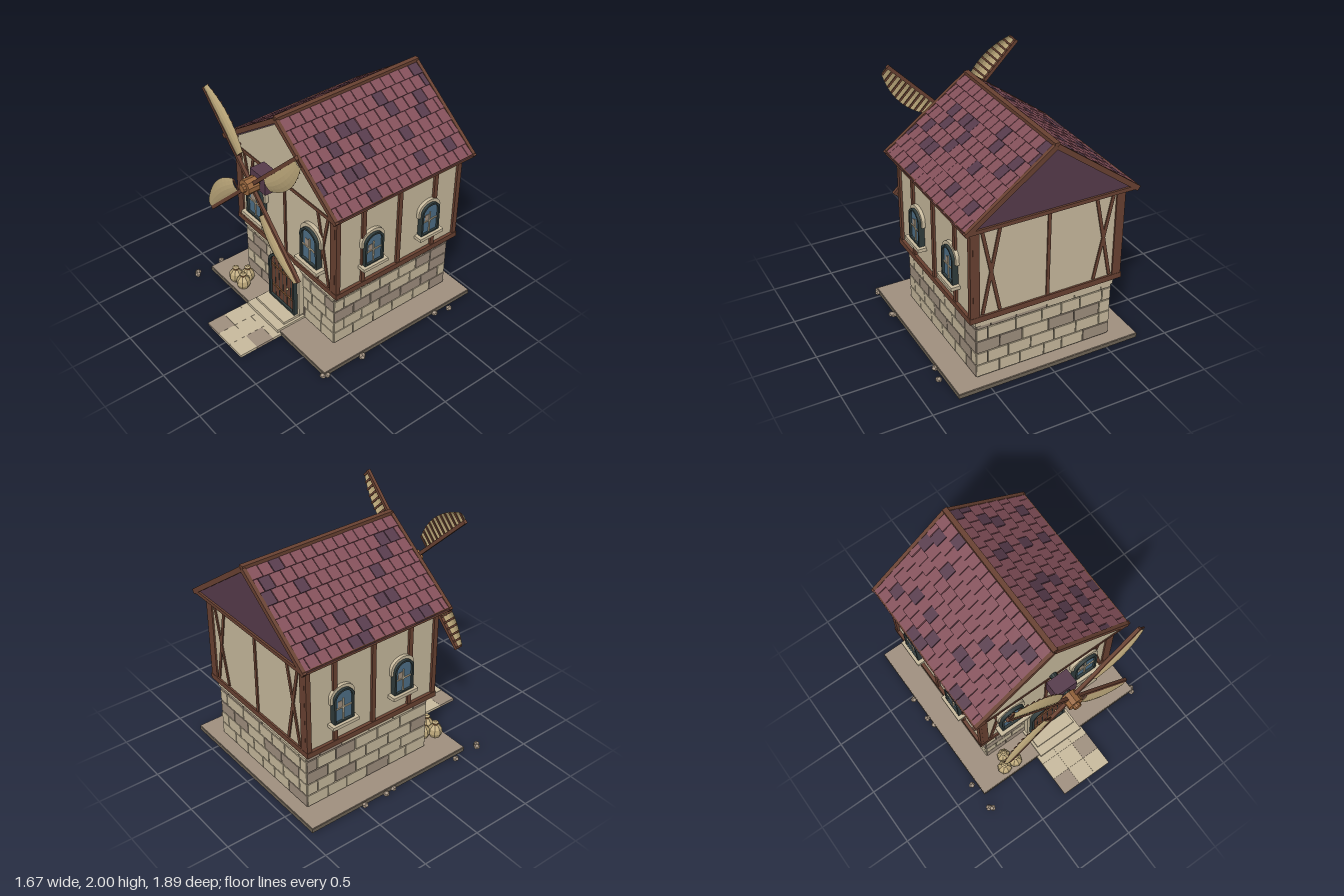
import * as THREE from 'three';
import { mergeGeometries } from 'three/addons/utils/BufferGeometryUtils.js';

const mat = (name, color, side = THREE.FrontSide) => {
  const m = new THREE.MeshStandardMaterial({ color, side });
  m.name = name;
  return m;
};

export function createModel() {
  const M = {
    plaster: mat('plaster', 0xcabc9f), stone: mat('darkStone', 0xa19180), mortar: mat('mortar', 0x6f6557),
    wood: mat('beamWood', 0x6a4232), tile: mat('roofTile', 0x84505a), purple: mat('purpleTile', 0x573b4c),
    frame: mat('darkFrame', 0x303c3c), glass: mat('glass', 0x4f7088),
    sail: mat('sailCloth', 0xbfaa7c, THREE.DoubleSide), copper: mat('warmWood', 0x9a683f),
  };
  let seed = 7;
  const rnd = () => (seed = (seed * 16807) % 2147483647) / 2147483647;

  const model = new THREE.Group();
  model.name = 'windmillHouse';
  const add = (name, geo, m, x = 0, y = 0, z = 0, parent = model) => {
    const mesh = new THREE.Mesh(geo, m);
    mesh.name = name;
    mesh.position.set(x, y, z);
    parent.add(mesh);
    return mesh;
  };
  const group = (name, parent = model) => {
    const g = new THREE.Group();
    g.name = name;
    parent.add(g);
    return g;
  };
  // Box given by its limits
  const slab = (x0, x1, y0, y1, z0, z1) => new THREE.BoxGeometry(x1 - x0, y1 - y0, z1 - z0)
    .translate((x0 + x1) / 2, (y0 + y1) / 2, (z0 + z1) / 2);
  const flat = (g) => {
    const f = g.index ? g.toNonIndexed() : g;
    f.computeVertexNormals();
    return f;
  };
  const extrude = (shape, depth) => new THREE.ExtrudeGeometry(shape, { depth, bevelEnabled: false, curveSegments: 12 });
  const arch = (w, h, rise, Type = THREE.Shape, y0 = 0) => {
    const s = new Type();
    s.moveTo(-w, y0);
    s.lineTo(w, y0);
    s.lineTo(w, h - rise);
    s.absellipse(0, h - rise, w, rise, 0, Math.PI);
    s.closePath();
    return s;
  };
  const archRing = (w, h, rise, t) => {
    const s = arch(w, h, rise);
    s.holes.push(arch(w - t, h - t, rise - t * 0.6, THREE.Path, t));
    return s;
  };

  // Ground plate, paved path, steps and pebbles
  add('basePlate', slab(-0.77, 0.765, 0.01, 0.043, -0.945, 0.555), M.mortar);
  add('basePlateTop', slab(-0.767, 0.762, 0.043, 0.05, -0.942, 0.552), M.stone);
  for (let r = 0; r < 3; r++) for (let c = 0; c < 3; c++) {
    const x = -0.235 + c * 0.152, z = 0.48 + r * 0.154;
    const dark = (r === 2 && c === 0) || (r === 1 && c === 2);
    add('pathSlab', slab(x, x + 0.151, 0.013, 0.036, z, z + 0.153), dark ? M.stone : M.plaster);
  }
  add('lowerStep', slab(-0.21, 0.2, 0.04, 0.07, 0.3, 0.575), M.plaster);
  add('upperStep', slab(-0.19, 0.18, 0.07, 0.092, 0.3, 0.5), M.plaster);
  const pebbles = [[-0.785, -0.465], [-0.785, -0.26], [-0.77, -0.18], [-0.81, 0.43], [-0.805, 0.665], [-0.78, 0.685],
    [0.805, -0.69], [0.775, -0.56], [0.775, 0.19], [0.79, 0.205], [0.755, 0.56], [0.77, 0.53]];
  pebbles.forEach(([x, z], i) => {
    const p = add('pebble', new THREE.DodecahedronGeometry(0.026), M.stone, x, 0.021, z);
    p.scale.y = 0.8;
    p.rotation.y = i;
  });

  // Stone ground floor: mortar core with coursed blocks on every side
  add('mortarCore', slab(-0.558, 0.558, 0.05, 0.57, -0.832, 0.302), M.mortar);
  const blocks = { plaster: [], stone: [] };
  const course = (y0, y1, size, offset) => {
    [[1.14, 0, 0.31], [1.14, Math.PI, 0.84], [1.15, Math.PI / 2, 0.57], [1.15, -Math.PI / 2, 0.57]].forEach(([len, yaw, out], k) => {
      const zc = k > 1 ? -0.265 : 0;
      let a = -len / 2, b = a + size * (offset ? 0.5 : 1);
      while (a < len / 2 - 0.01) {
        if (len / 2 - b < 0.07) b = len / 2;
        const g = slab(a + 0.004, b - 0.004, y0, y1, out - 0.02, out + 0.003).rotateY(yaw).translate(0, 0, zc);
        blocks[rnd() < 0.33 ? 'stone' : 'plaster'].push(g);
        a = b;
        b = a + size * (0.8 + rnd() * 0.4);
      }
    });
  };
  for (let r = 0; r < 4; r++) course(0.062 + r * 0.107, 0.16 + r * 0.107, 0.19, r % 2);
  course(0.491, 0.515, 0.24, 1);
  for (const k in blocks) add(k + 'Blocks', mergeGeometries(blocks[k]), M[k]);
  add('stoneCap', slab(-0.58, 0.58, 0.52, 0.576, -0.85, 0.322), M.plaster);

  // Half-timbered upper floor
  add('upperWalls', slab(-0.608, 0.608, 0.576, 1.362, -0.858, 0.328), M.plaster);
  const timber = group('timberFrame');
  const beam = (...l) => add('beam', slab(...l), M.wood, 0, 0, 0, timber);
  for (const [y0, y1] of [[0.574, 0.62], [1.325, 1.362]]) {
    for (const [z0, z1] of [[0.3, 0.343], [-0.873, -0.83]]) beam(-0.634, 0.634, y0, y1, z0, z1);
    for (const s of [-0.612, 0.612]) beam(s - 0.022, s + 0.022, y0, y1, -0.873, 0.343);
  }
  for (const z of [0.328, -0.858]) {
    beam(-0.013, 0.013, 0.6, 1.34, z - 0.01, z + 0.01);
    for (const s of [-1, 1]) {
      beam(s * 0.58 - 0.026, s * 0.58 + 0.026, 0.6, 1.34, z - 0.013, z + 0.013);
      for (const t of [-1, 1]) {
        const b = add('crossBrace', new THREE.BoxGeometry(0.026, 0.7, 0.018), M.wood, s * 0.46, 0.972, z, timber);
        b.rotation.z = t * 0.2;
      }
    }
  }
  for (const s of [-0.612, 0.612]) {
    for (const z of [0.08, -0.265, -0.615]) beam(s - 0.015, s + 0.015, 0.6, 1.34, z - 0.018, z + 0.018);
    for (const z of [0.32, -0.85]) beam(s - 0.015, s + 0.015, 0.6, 1.34, z - 0.02, z + 0.02);
  }

  // Arched windows
  const windowAt = (x, y, z, yaw, size) => {
    const w = group('window');
    w.position.set(x, y, z);
    w.rotation.y = yaw;
    w.scale.setScalar(size);
    const box = (name, m, ...l) => add(name, slab(...l), m, 0, 0, 0, w);
    add('windowHood', extrude(arch(0.124, 0.155, 0.1), 0.05), M.plaster, 0, 0.2, -0.02, w);
    add('windowBack', extrude(arch(0.1, 0.325, 0.09), 0.05), M.frame, 0, 0, -0.02, w);
    add('windowGlass', extrude(arch(0.085, 0.31, 0.08), 0.006), M.glass, 0, 0, 0.029, w);
    add('windowFrame', extrude(archRing(0.102, 0.327, 0.09, 0.018), 0.06), M.frame, 0, 0, -0.005, w);
    box('mullion', M.plaster, -0.006, 0.006, 0.015, 0.23, 0.03, 0.043);
    box('glazingBar', M.plaster, -0.085, 0.085, 0.135, 0.147, 0.03, 0.043);
    box('paneGlint', M.stone, -0.055, -0.012, 0.147, 0.21, 0.03, 0.038);
    box('windowSill', M.plaster, -0.135, 0.135, -0.027, 0.005, -0.02, 0.082);
  };
  for (const s of [-1, 1]) {
    windowAt(s * 0.345, 0.76, 0.328, 0, 1);
    for (const z of [0, -0.557]) windowAt(s * 0.608, 0.778, z, s * Math.PI / 2, 0.87);
  }

  // Arched door
  const door = group('door');
  door.position.y = 0.09;
  add('doorSurround', extrude(arch(0.19, 0.515, 0.15), 0.1), M.plaster, 0, 0, 0.255, door);
  add('doorFrame', extrude(archRing(0.167, 0.495, 0.14, 0.02), 0.05), M.frame, 0, 0, 0.34, door);
  add('doorLeaf', extrude(arch(0.15, 0.478, 0.13), 0.03), M.wood, 0, 0, 0.34, door);
  for (let i = -2; i <= 2; i++) {
    add('plankGap', slab(i * 0.05 - 0.003, i * 0.05 + 0.003, 0.02, 0.46 - Math.abs(i) * 0.025, 0.368, 0.372), M.frame, 0, 0, 0, door);
  }
  for (const y of [0.125, 0.34]) add('doorStrap', slab(-0.135, 0.135, y - 0.006, y + 0.006, 0.36, 0.378), M.copper, 0, 0, 0, door);
  add('doorKnob', new THREE.SphereGeometry(0.011, 8, 6), M.sail, 0.075, 0.215, 0.383, door);

  // Roof body, gable and tiled slopes
  const gable = (w, y0, y1) => new THREE.Shape([[-w, y0], [w, y0], [0, y1]].map((p) => new THREE.Vector2(...p)));
  add('roofBody', extrude(gable(0.68, 1.36, 1.86), 1.305), M.purple, 0, 0, -0.918);
  add('frontGable', extrude(gable(0.62, 1.375, 1.832), 0.014), M.plaster, 0, 0, 0.386);
  const L = Math.hypot(0.68, 0.5), pitch = Math.atan2(0.5, 0.68);
  for (const yaw of [0, Math.PI]) {
    const slope = group('roofSlope');
    slope.position.set(0, 1.86, -0.265);
    slope.rotation.set(0, yaw, -pitch);
    const tiles = { tile: [], purple: [] };
    for (let r = 0; r < 8; r++) for (let c = 0; c < 15; c++) {
      const z0 = Math.max(-0.648, -0.648 + (c - (r % 2) / 2) * 0.0926), z1 = Math.min(0.648, -0.648 + (c + 1 - (r % 2) / 2) * 0.0926);
      if (z1 - z0 < 0.01) continue;
      const g = new THREE.BoxGeometry(0.11, 0.016, z1 - z0 - 0.006).rotateZ(0.08)
        .translate((r + 0.5) * L / 8, 0.009 + rnd() * 0.004, (z0 + z1) / 2);
      tiles[rnd() < 0.13 ? 'purple' : 'tile'].push(g);
    }
    for (const k in tiles) add(k + 'Shingles', mergeGeometries(tiles[k]), M[k], 0, 0, 0, slope);
    for (const z of [-0.658, 0.658]) add('bargeBoard', slab(0, L + 0.01, -0.015, 0.025, z - 0.014, z + 0.014), M.wood, 0, 0, 0, slope);
  }
  add('ridgeBeam', slab(-0.02, 0.02, 1.855, 1.892, -0.935, 0.4), M.wood);
  for (const s of [-0.676, 0.676]) add('eaveBeam', slab(s - 0.015, s + 0.015, 1.355, 1.385, -0.935, 0.4), M.wood);
  for (const z of [-0.921, 0.393]) add('tieBeam', slab(-0.69, 0.69, 1.355, 1.385, z - 0.013, z + 0.013), M.wood);

  // Windmill shaft and hub
  const rotor = group('windmill');
  rotor.position.set(-0.005, 1.4, 0);
  const drum = (name, r, z0, z1, sides, m) =>
    add(name, flat(new THREE.CylinderGeometry(r, r, z1 - z0, sides).rotateX(Math.PI / 2)), m, 0, 0, (z0 + z1) / 2, rotor);
  drum('shaft', 0.03, 0.36, 0.6, 10, M.frame);
  add('gearBox', slab(-0.09, 0.09, -0.073, 0.073, 0.44, 0.565), M.purple, 0, 0, 0, rotor);
  drum('hub', 0.062, 0.585, 0.68, 10, M.copper);
  drum('hubCap', 0.032, 0.68, 0.705, 10, M.copper);

  // Four sails: bowed cloth on one side of the spar, ribs behind
  const sailWidth = (u) => 0.11 + 0.235 * u - 0.27 * u * u;
  const sailGeo = () => {
    const g = new THREE.PlaneGeometry(1, 1, 5, 10), p = g.attributes.position;
    for (let i = 0; i < p.count; i++) {
      const v = p.getX(i) + 0.5, u = p.getY(i) + 0.5;
      p.setXYZ(i, v * sailWidth(u), 0.23 + u * 0.545, 0.004 + 0.024 * Math.sin(Math.PI * v) * (0.5 + 0.5 * Math.sin(Math.PI * u)));
    }
    return flat(g);
  };
  for (let k = 0; k < 4; k++) {
    const blade = group('blade', rotor);
    blade.position.z = 0.62;
    blade.rotation.z = Math.PI / 4 + k * Math.PI / 2;
    add('spar', slab(-0.014, 0.014, 0.04, 0.78, -0.013, 0.013), M.wood, 0, 0, 0, blade);
    add('sail', sailGeo(), M.sail, 0, 0, 0, blade);
    for (let i = 0; i <= 10; i++) {
      const y = 0.237 + i * 0.0533;
      add('sailRib', slab(0, sailWidth(i / 10) - 0.002, y - 0.008, y + 0.008, -0.006, 0.002), M.wood, 0, 0, 0, blade);
    }
  }

  // Grain sacks beside the door
  const profile = [[0, 0], [0.046, 0], [0.06, 0.035], [0.054, 0.075], [0.026, 0.108], [0.018, 0.114], [0.028, 0.128], [0.014, 0.138], [0, 0.138]]
    .map((p) => new THREE.Vector2(...p));
  for (const [x, z, s] of [[-0.51, 0.478, 1], [-0.405, 0.478, 1], [-0.46, 0.395, 0.95]]) {
    const sack = group('sack');
    sack.position.set(x, 0.05, z);
    sack.scale.setScalar(s);
    add('sackBody', flat(new THREE.LatheGeometry(profile, 8)), M.sail, 0, 0, 0, sack);
    add('sackTie', flat(new THREE.CylinderGeometry(0.024, 0.024, 0.008, 8)), M.copper, 0, 0.113, 0, sack);
  }
  return model;
}
